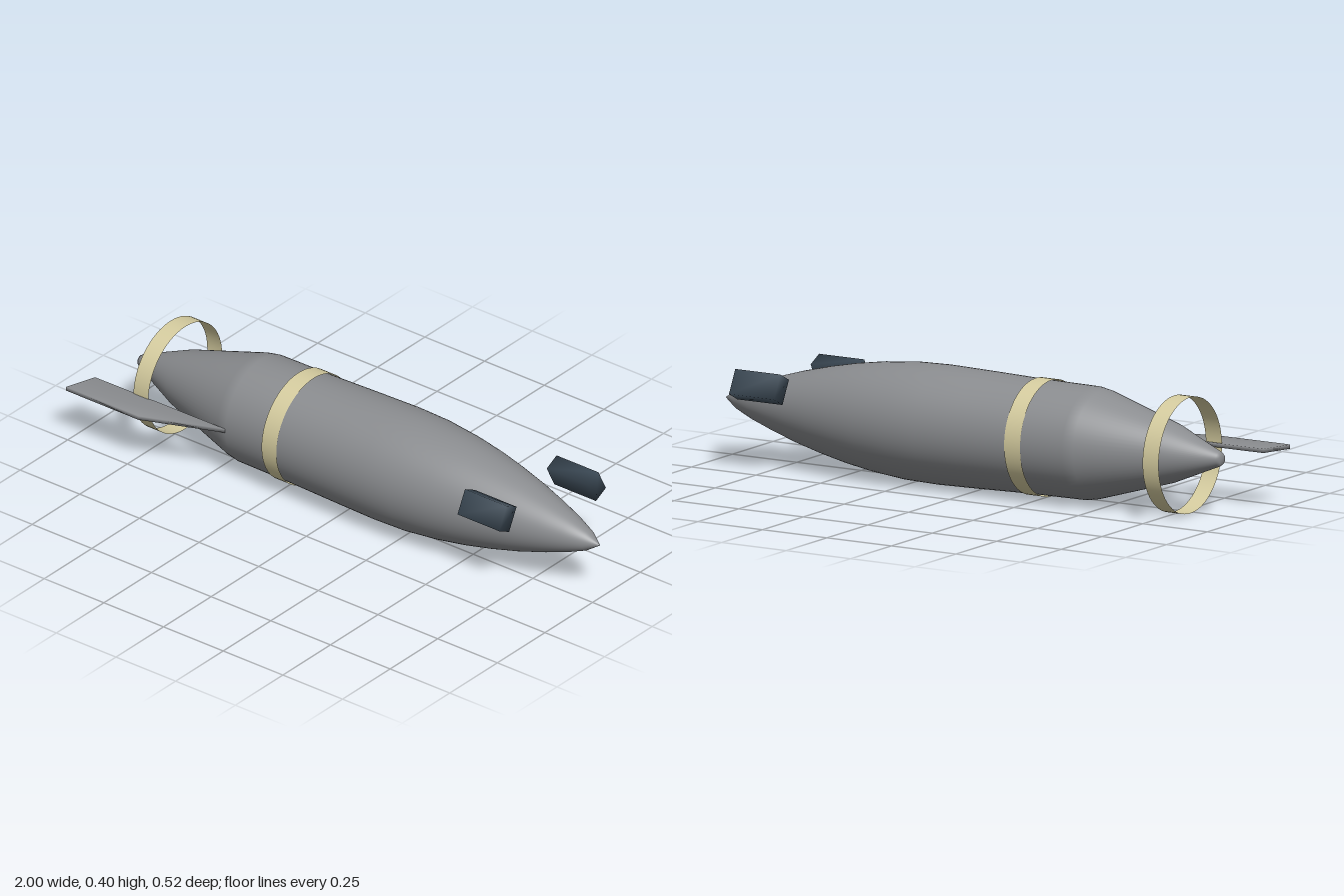
import * as THREE from 'three';
import { mergeVertices } from 'three/addons/utils/BufferGeometryUtils.js';

const AXIS_Y = 0.2;
const AXIS_Z = -0.04;

// Share corners so that the shading runs smoothly over the edges
function soften(geometry) {
  geometry.deleteAttribute('normal');
  geometry.deleteAttribute('uv');
  const merged = mergeVertices(geometry, 1e-4);
  merged.computeVertexNormals();
  return merged;
}

export function createModel() {
  const model = new THREE.Group();
  model.name = 'torpedoHull';

  const hullGrey = new THREE.MeshStandardMaterial({ color: 0x8b8d90, side: THREE.DoubleSide });
  hullGrey.name = 'hullGrey';
  const bandCream = new THREE.MeshStandardMaterial({ color: 0xd6cda0, side: THREE.DoubleSide });
  bandCream.name = 'bandCream';
  const podSlate = new THREE.MeshStandardMaterial({ color: 0x3c4a56 });
  podSlate.name = 'podSlate';

  const add = (name, geometry, material, x, y, z) => {
    const mesh = new THREE.Mesh(geometry, material);
    mesh.name = name;
    mesh.position.set(x, y, z);
    model.add(mesh);
    return mesh;
  };

  // Hull: profile of [x, radius] from tail to nose, turned about the x axis
  const profile = [
    [-0.925, 0], [-0.925, 0.018], [-0.915, 0.025], [-0.74, 0.098], [-0.46, 0.181],
    [-0.42, 0.188], [-0.2, 0.19], [0, 0.195], [0.15, 0.198], [0.27, 0.195],
    [0.4, 0.182], [0.5, 0.166], [0.6, 0.145], [0.7, 0.12], [0.8, 0.09],
    [0.88, 0.063], [0.95, 0.034], [1, 0],
  ].map(([x, r]) => new THREE.Vector2(r, x));
  const hull = new THREE.LatheGeometry(profile, 64).rotateZ(-Math.PI / 2);
  add('hull', hull, hullGrey, 0, AXIS_Y, AXIS_Z);

  // Thin open bands: one round the hull, one round the tail
  for (const [name, x] of [['hullBand', -0.233], ['tailRing', -0.77]]) {
    const band = new THREE.CylinderGeometry(0.194, 0.194, 0.062, 64, 1, true).rotateZ(Math.PI / 2);
    add(name, band, bandCream, x, AXIS_Y, AXIS_Z);
  }

  // Swept side fin
  const outline = new THREE.Shape([
    new THREE.Vector2(-0.965, 0.15), new THREE.Vector2(-1, 0.258),
    new THREE.Vector2(-0.697, 0.258), new THREE.Vector2(-0.42, 0.146),
  ]);
  const fin = new THREE.ExtrudeGeometry(outline, { depth: 0.014, bevelEnabled: false });
  fin.translate(0, 0, -0.007).rotateX(Math.PI / 2);
  add('sideFin', soften(fin), hullGrey, 0, AXIS_Y, 0);

  // Two staggered pods on the upper shoulders of the nose
  for (const [name, side, x] of [['frontPod', 1, 0.664], ['rearPod', -1, 0.762]]) {
    const box = soften(new THREE.BoxGeometry(0.175, 0.087, 0.058));
    const pod = add(name, box, podSlate, x, 0.289, AXIS_Z + side * 0.173);
    pod.rotation.x = -side * 0.47;
  }

  return model;
}
